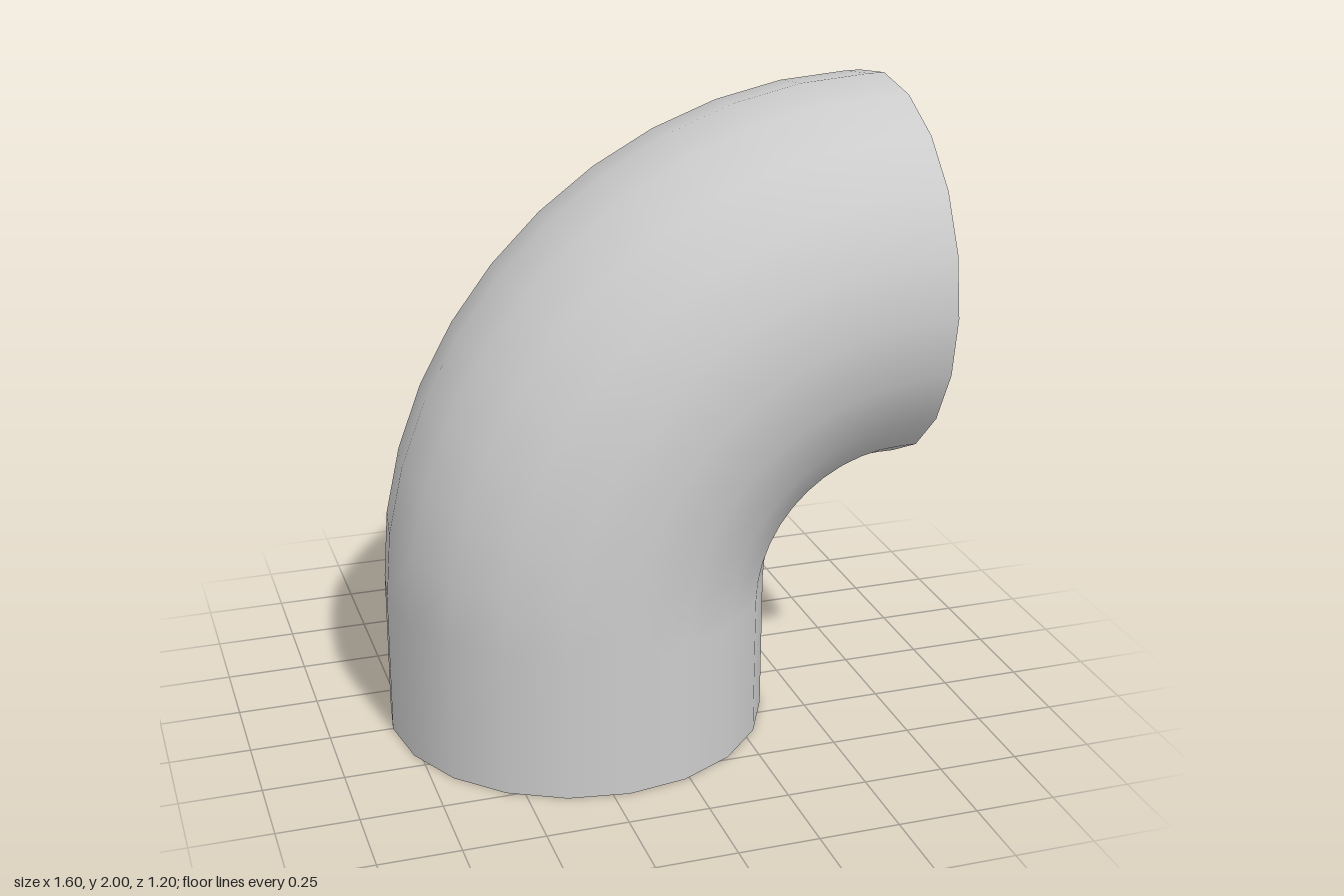
import * as THREE from 'three';

const RADIUS = 0.6;        // pipe radius
const SIDES = 20;
const BEND_STEPS = 11;     // segments in the quarter bend
const BEND_RADIUS = 0.95;  // bend radius at the pipe's centre line
const PIVOT = new THREE.Vector3(0.75, 0.45, 0);

// Rings along the pipe: open foot, quarter bend, open mouth
function pipeRings() {
  const rings = [{ angle: 0, x: PIVOT.x - BEND_RADIUS, y: 0 }];
  for (let i = 0; i <= BEND_STEPS; i++) {
    const angle = (i / BEND_STEPS) * Math.PI / 2;
    rings.push({
      angle,
      x: PIVOT.x - BEND_RADIUS * Math.cos(angle),
      y: PIVOT.y + BEND_RADIUS * Math.sin(angle),
    });
  }
  rings.push({ angle: Math.PI / 2, x: 0.8, y: PIVOT.y + BEND_RADIUS });
  return rings;
}

// Bend an open cylinder by placing each of its rows on a ring
function bentPipe() {
  const rings = pipeRings();
  const rows = rings.length - 1;
  const geometry = new THREE.CylinderGeometry(RADIUS, RADIUS, 1, SIDES, rows, true);
  const { position, normal } = geometry.attributes;
  const axis = new THREE.Vector3(0, 0, 1);
  const p = new THREE.Vector3();
  const n = new THREE.Vector3();
  for (let i = 0; i < position.count; i++) {
    const ring = rings[rows - Math.floor(i / (SIDES + 1))];
    p.fromBufferAttribute(position, i).setY(0).applyAxisAngle(axis, -ring.angle);
    n.fromBufferAttribute(normal, i).applyAxisAngle(axis, -ring.angle);
    position.setXYZ(i, p.x + ring.x, p.y + ring.y, p.z);
    normal.setXYZ(i, n.x, n.y, n.z);
  }
  return geometry;
}

export function createModel() {
  const group = new THREE.Group();
  group.name = 'pipeElbow';
  const material = new THREE.MeshStandardMaterial({ color: 0xcccccc, side: THREE.DoubleSide });
  const pipe = new THREE.Mesh(bentPipe(), material);
  pipe.name = 'elbowPipe';
  group.add(pipe);
  return group;
}
